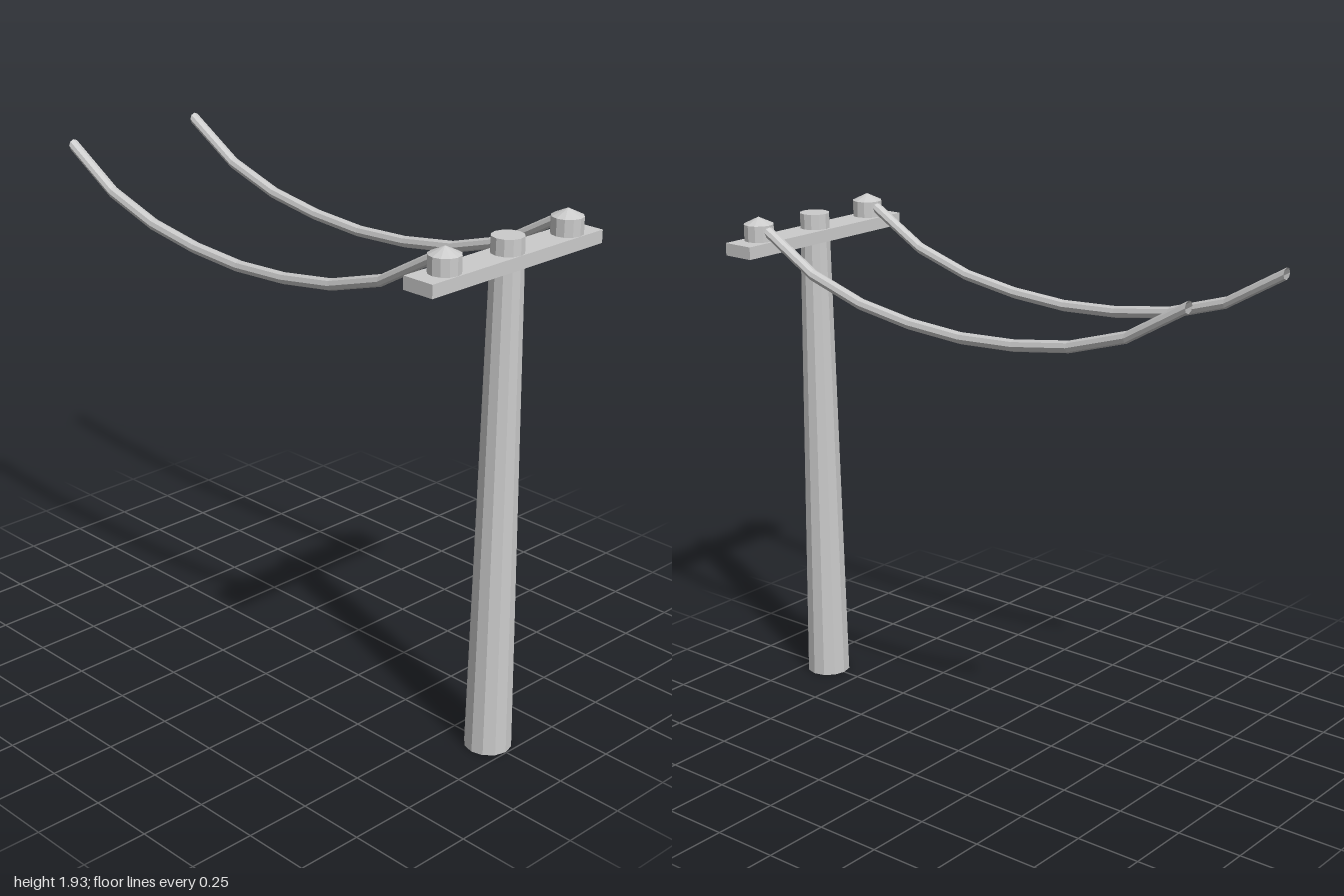
import * as THREE from 'three';

const material = new THREE.MeshStandardMaterial({ color: 0xcccccc, flatShading: true, side: THREE.DoubleSide });
const POLE_X = 0.91;

function part(name, geometry, x = 0, y = 0, z = 0) {
  const mesh = new THREE.Mesh(geometry, material);
  mesh.name = name;
  mesh.position.set(x, y, z);
  return mesh;
}

// Height of the wire at each step away from its lowest point
const SAG = [1.632, 1.645, 1.68, 1.752, 1.888];
const STEP = 0.2335;

// Straight open tube along x, each ring lifted to follow the sag
function wireGeometry() {
  const g = new THREE.CylinderGeometry(0.022, 0.022, STEP * 8, 8, 8, true).rotateZ(Math.PI / 2);
  const p = g.attributes.position;
  for (let i = 0; i < p.count; i++) {
    const k = Math.round(Math.abs(p.getX(i)) / STEP);
    p.setY(i, p.getY(i) + SAG[k]);
  }
  g.computeVertexNormals();
  return g;
}

export function createModel() {
  const model = new THREE.Group();
  model.name = 'utilityPole';

  // Tapered pole, open underneath, with a flat top
  model.add(part('pole', new THREE.CylinderGeometry(0.057, 0.086, 1.905, 12, 1, true), POLE_X, 0.9525, 0));
  model.add(part('poleTop', new THREE.CircleGeometry(0.057, 12).rotateX(-Math.PI / 2), POLE_X, 1.905, 0));

  // Crossarm
  model.add(part('crossarm', new THREE.BoxGeometry(0.125, 0.047, 0.828), 0.906, 1.8235, 0));

  // An insulator with a shallow conical cap and a sagging wire on each side
  for (const side of [-1, 1]) {
    const z = side * 0.298;
    const profile = [[0, 1.845], [0.057, 1.845], [0.057, 1.908], [0, 1.935]].map(([r, y]) => new THREE.Vector2(r, y));
    model.add(part('insulator', new THREE.LatheGeometry(profile, 12), POLE_X, 0, z));
    model.add(part('wire', wireGeometry(), STEP * 4 - 1, 0, z));
  }
  return model;
}
